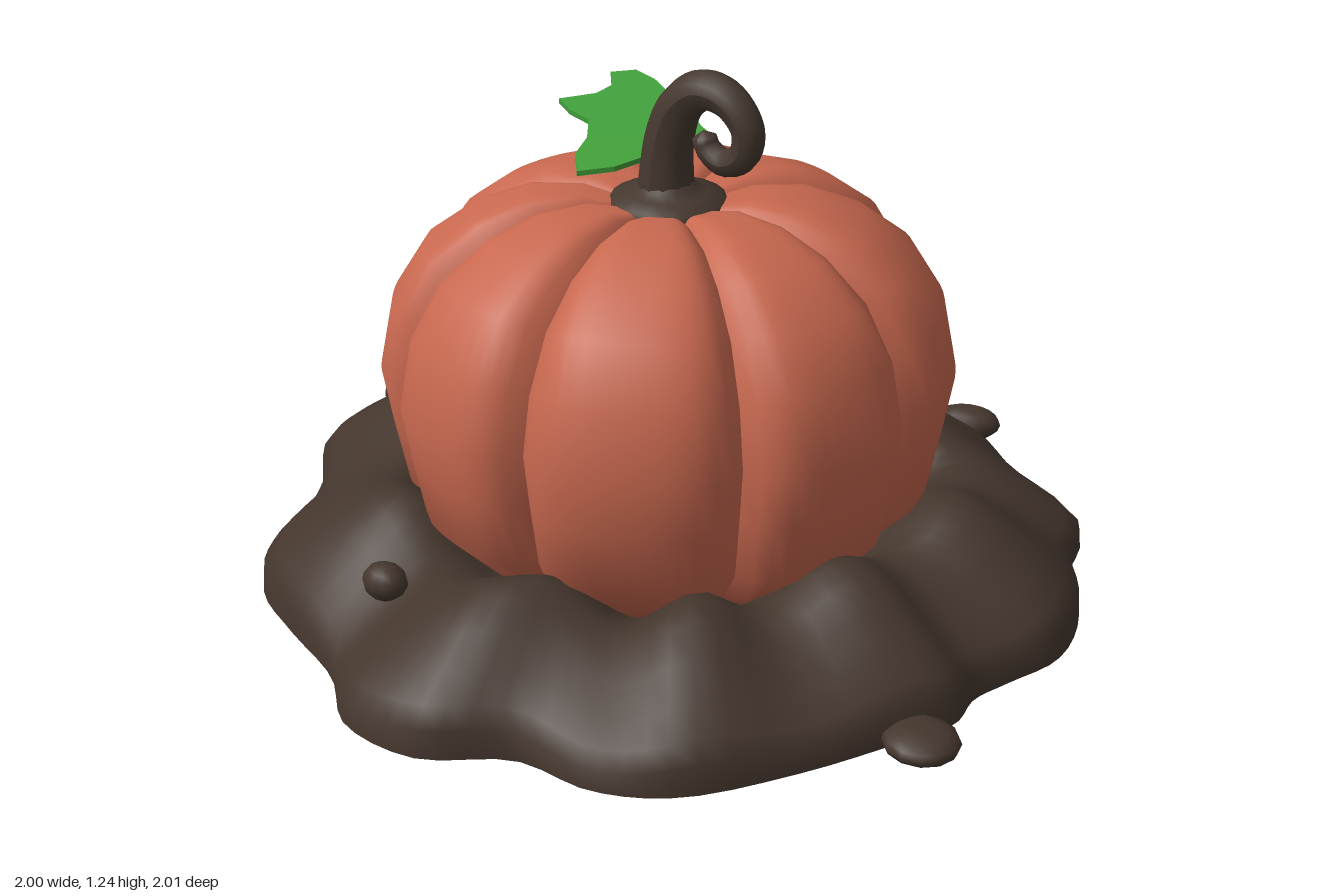
import * as THREE from 'three';

const material = (name, color, side = THREE.FrontSide) => {
  const m = new THREE.MeshStandardMaterial({ color, side });
  m.name = name;
  return m;
};

function addMesh(parent, name, geometry, mat) {
  const mesh = new THREE.Mesh(geometry, mat);
  mesh.name = name;
  parent.add(mesh);
  return mesh;
}

// Grid surface from point(u, v); u runs around (optionally closed), v runs along the profile
function surface(cols, rows, closed, point) {
  const positions = [], index = [], width = closed ? cols : cols + 1;
  for (let j = 0; j <= rows; j++)
    for (let i = 0; i < width; i++) positions.push(...point(i / cols, j / rows));
  for (let j = 0; j < rows; j++)
    for (let i = 0; i < cols; i++) {
      const a = j * width + i, b = j * width + ((i + 1) % width);
      index.push(a, b, a + width, b, b + width, a + width);
    }
  const g = new THREE.BufferGeometry();
  g.setAttribute('position', new THREE.Float32BufferAttribute(positions, 3));
  g.setIndex(index);
  g.computeVertexNormals();
  return g;
}

// Cosine blend through [angle in degrees, value] pairs around a full turn
function around(pairs, degrees) {
  const d = ((degrees % 360) + 360) % 360;
  for (let i = 0; i < pairs.length; i++) {
    const [a0, v0] = pairs[i];
    const [a1, v1] = i + 1 < pairs.length ? pairs[i + 1] : [360, pairs[0][1]];
    if (d <= a1) return v0 + (v1 - v0) * (1 - Math.cos(Math.PI * (d - a0) / (a1 - a0))) / 2;
  }
  return pairs[0][1];
}

// Soil mound: wavy outline, bumpy crest, flat underside
function buildMound(mat) {
  const group = new THREE.Group();
  group.name = 'soilMound';
  const outline = new THREE.CatmullRomCurve3([
    [0.93, 0], [0.905, 0.1], [0.92, 0.2], [0.87, 0.32], [0.76, 0.55], [0.61, 0.77], [0.46, 0.855],
    [0.27, 0.87], [0.1, 0.99], [-0.1, 0.99], [-0.25, 0.88], [-0.46, 0.8], [-0.63, 0.72],
    [-0.73, 0.58], [-0.8, 0.37], [-0.96, 0.19], [-1, 0.04], [-0.99, -0.06], [-0.91, -0.15],
    [-0.85, -0.35], [-0.66, -0.61], [-0.48, -0.85], [-0.3, -0.91], [-0.13, -0.99], [0.02, -0.99],
    [0.16, -0.94], [0.35, -0.88], [0.55, -0.72], [0.75, -0.65], [0.81, -0.5], [0.93, -0.32],
    [0.97, -0.15],
  ].map(([x, z]) => new THREE.Vector3(x, 0, z)), true);
  const crest = [[0, 0.22], [17, 0.29], [34, 0.21], [47, 0.28], [61, 0.2], [80, 0.28], [103, 0.2],
    [122, 0.29], [145, 0.24], [165, 0.29], [190, 0.24], [215, 0.29], [240, 0.23], [265, 0.28],
    [288, 0.23], [305, 0.29], [324, 0.22], [343, 0.29]];
  // [fraction of the outline radius, fraction of the crest height]
  const profile = [[0, 0.5], [0.48, 0.55], [0.57, 0.82], [0.64, 0.97], [0.69, 1], [0.75, 0.95],
    [0.82, 0.8], [0.9, 0.6], [0.96, 0.43], [0.995, 0.28], [1, 0]];
  const top = surface(120, profile.length - 1, true, (u, v) => {
    const p = outline.getPoint(u);
    const [f, h] = profile[Math.round(v * (profile.length - 1))];
    const angle = Math.atan2(p.z, p.x) * 180 / Math.PI;
    return [p.x * f, Math.max(0.01, h * around(crest, angle)), p.z * f];
  });
  const bottom = surface(120, 1, true, (u, v) => {
    const p = outline.getPoint(u);
    return [p.x * (1 - v), 0.01, p.z * (1 - v)];
  });
  addMesh(group, 'soilTop', top, mat);
  addMesh(group, 'soilUnderside', bottom, mat);
  // Loose pebbles: position, radii, turn
  const pebbles = [
    [-0.875, 0.17, 0, 0.036, 0.036, 0.036, 0], [-0.23, 0.185, 0.72, 0.055, 0.044, 0.045, 0],
    [0.915, 0.036, 0.33, 0.085, 0.036, 0.082, 0], [0.26, 0.06, -0.94, 0.088, 0.045, 0.055, 0.4],
  ];
  for (const [x, y, z, a, b, c, turn] of pebbles) {
    const pebble = addMesh(group, 'pebble', new THREE.SphereGeometry(1, 12, 8), mat);
    pebble.position.set(x, y, z);
    pebble.scale.set(a, b, c);
    pebble.rotation.y = turn;
  }
  return group;
}

// Pumpkin: eight swollen lobes meeting in narrow grooves
function buildPumpkin(mat) {
  const group = new THREE.Group();
  group.name = 'pumpkin';
  const profile = [[0, 0.9], [0.1, 0.915], [0.2, 0.942], [0.32, 0.935], [0.44, 0.89], [0.55, 0.81],
    [0.625, 0.69], [0.657, 0.53], [0.635, 0.4], [0.605, 0.25], [0.48, 0.12], [0, 0.1]];
  const grooves = [-96, -56, -5, 37, 84, 125.5, 161, 217.5, 264];
  for (let k = 0; k < 8; k++) {
    const lobe = surface(14, profile.length - 1, false, (u, v) => {
      const [r, y] = profile[Math.round(v * (profile.length - 1))];
      const angle = THREE.MathUtils.degToRad(THREE.MathUtils.lerp(grooves[k], grooves[k + 1], u));
      const dip = Math.pow(Math.abs(2 * u - 1), 4.5);
      const radius = r * (1 - 0.11 * dip);
      const drop = y > 0.6 ? 0.03 * dip * Math.min(1, r / 0.2) : 0;
      return [radius * Math.cos(angle), y - drop, radius * Math.sin(angle)];
    });
    addMesh(group, 'pumpkinLobe', lobe, mat);
  }
  return group;
}

// Stem: flared foot and a tapering tube that curls at the tip
function buildStem(mat) {
  const group = new THREE.Group();
  group.name = 'stem';
  const path = new THREE.CatmullRomCurve3([
    [-0.005, 0.9], [-0.005, 0.98], [0.005, 1.07], [0.035, 1.145], [0.095, 1.192], [0.165, 1.183],
    [0.215, 1.125], [0.205, 1.065], [0.155, 1.038], [0.11, 1.06], [0.095, 1.1],
  ].map(([x, y]) => new THREE.Vector3(x, y, 0)));
  const steps = 48, sides = 12;
  const tube = new THREE.TubeGeometry(path, steps, 1, sides);
  const pos = tube.attributes.position, p = new THREE.Vector3();
  for (let i = 0; i < pos.count; i++) {
    const t = Math.floor(i / (sides + 1)) / steps;
    const radius = t === 1 ? 0.001 : 0.07 - 0.043 * Math.pow(t, 0.75);
    const centre = path.getPointAt(t);
    p.fromBufferAttribute(pos, i).sub(centre).multiplyScalar(radius).add(centre);
    pos.setXYZ(i, p.x, p.y, p.z);
  }
  tube.computeVertexNormals();
  addMesh(group, 'curledStem', tube, mat);
  const foot = [[0.135, 0.9], [0.13, 0.925], [0.09, 0.938], [0.066, 0.95], [0.05, 0.97]];
  addMesh(group, 'stemFoot', new THREE.LatheGeometry(
    foot.map(([x, y]) => new THREE.Vector2(x, y)), 20), mat);
  return group;
}

// Leaf: thin lobed blade tilted up and away from the stem
function buildLeaf(mat) {
  const outline = [[-0.03, -0.19], [-0.06, -0.2], [-0.1, -0.225], [-0.11, -0.27], [-0.16, -0.31],
    [-0.21, -0.265], [-0.26, -0.285], [-0.32, -0.29], [-0.365, -0.25], [-0.33, -0.21],
    [-0.34, -0.165], [-0.4, -0.1], [-0.35, -0.08], [-0.29, -0.075], [-0.25, -0.02],
    [-0.235, 0.04], [-0.19, 0.09], [-0.13, 0.03], [-0.08, -0.07]];
  const shape = new THREE.Shape(outline.map(([x, z]) => new THREE.Vector2(x, -z)));
  const g = new THREE.ExtrudeGeometry(shape, { depth: 0.012, bevelEnabled: false });
  g.rotateX(-Math.PI / 2);
  const pos = g.attributes.position;
  for (let i = 0; i < pos.count; i++)
    pos.setY(i, pos.getY(i) + 0.95 - 0.135 * pos.getX(i) - 0.25 * pos.getZ(i));
  g.computeVertexNormals();
  const mesh = new THREE.Mesh(g, mat);
  mesh.name = 'leaf';
  return mesh;
}

export function createModel() {
  const model = new THREE.Group();
  model.name = 'pumpkinPatch';
  model.add(
    buildMound(material('soilBrown', 0x44362d)),
    buildPumpkin(material('pumpkinOrange', 0xc8684f)),
    buildStem(material('stemBrown', 0x45382f, THREE.DoubleSide)),
    buildLeaf(material('leafGreen', 0x419f3a, THREE.DoubleSide)),
  );
  return model;
}
